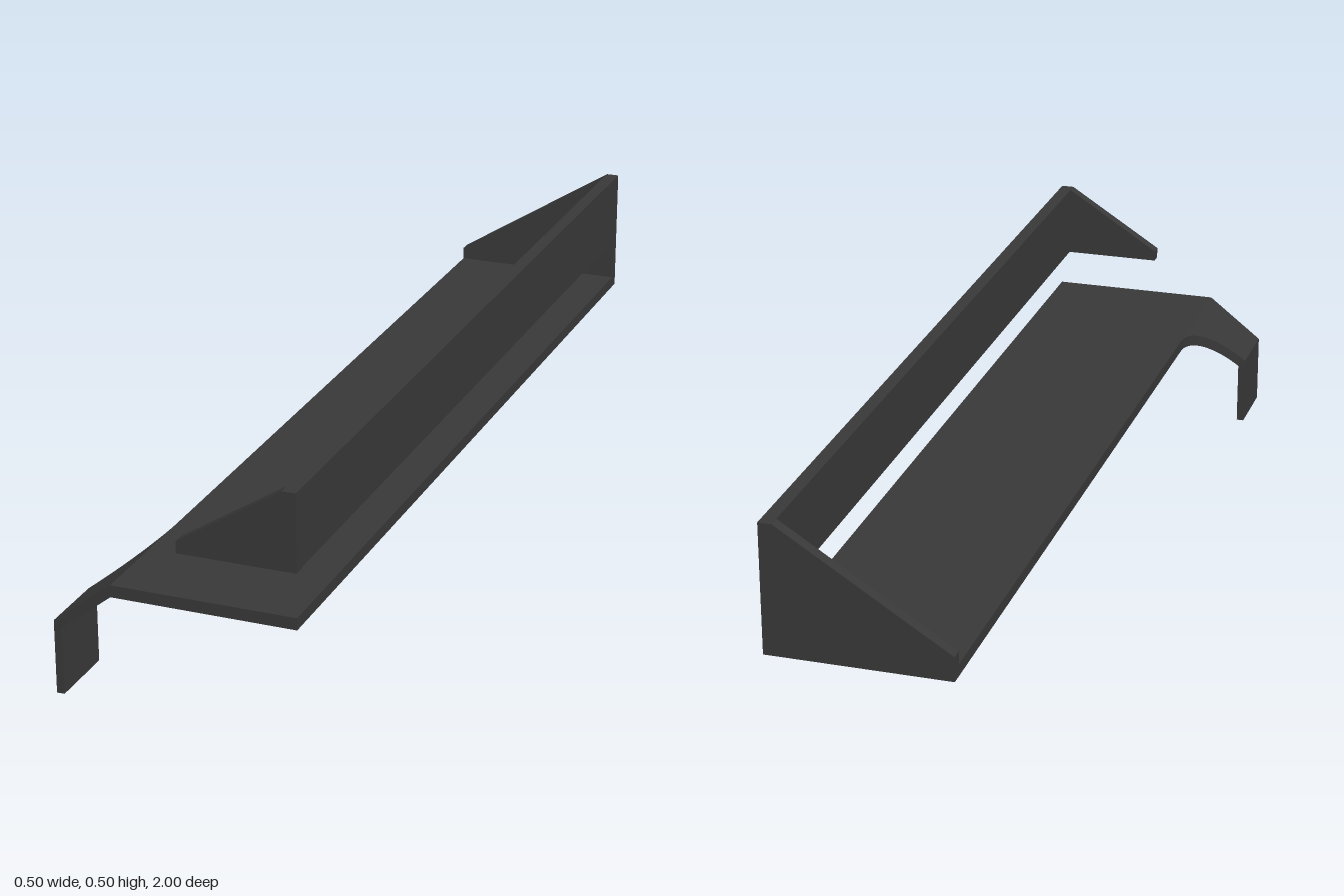
import * as THREE from 'three';

const charcoal = new THREE.MeshStandardMaterial({ color: 0x383838 });
charcoal.name = 'charcoal';

export function createModel() {
  const group = new THREE.Group();
  group.name = 'trayBracket';

  const add = (name, geometry) => {
    const mesh = new THREE.Mesh(geometry, charcoal);
    mesh.name = name;
    group.add(mesh);
  };

  // Box given by its lower and upper limits
  const box = (name, x0, x1, y0, y1, z0, z1) => {
    const g = new THREE.BoxGeometry(x1 - x0, y1 - y0, z1 - z0);
    add(name, g.translate((x0 + x1) / 2, (y0 + y1) / 2, (z0 + z1) / 2));
  };

  // Side profile in x, y extruded from z0 to z1
  const slab = (name, points, z0, z1) => {
    const shape = new THREE.Shape(points.map(([x, y]) => new THREE.Vector2(x, y)));
    const g = new THREE.ExtrudeGeometry(shape, { depth: z1 - z0, bevelEnabled: false });
    add(name, g.translate(0, 0, z0));
  };

  // Long shelf and the raised wall above the open slot
  box('shelf', -0.13, 0.25, 0.225, 0.25, -0.975, 1);
  box('raisedWall', 0.222, 0.25, 0.342, 0.5, -0.975, 0.975);

  // Full end panel at the back, shortened end panel at the front
  slab('backEndPanel',
    [[-0.13, 0.225], [0.25, 0.225], [0.25, 0.5], [0.222, 0.5], [-0.13, 0.277]], -1, -0.975);
  slab('frontEndPanel',
    [[0.008, 0.34], [0.25, 0.34], [0.25, 0.5], [0.222, 0.5], [0.008, 0.364]], 0.975, 1);

  // Sloping arm: plan outline with a curved fillet, sheared down along x
  const xo = -0.252, xi = -0.13;
  const plan = new THREE.Shape();
  plan.moveTo(xo, -1);
  plan.lineTo(xi, -1);
  plan.lineTo(xi, -0.7);
  plan.absellipse(xo, -0.7, xi - xo, 0.15, 0, -Math.PI / 2, true);
  plan.closePath();
  const arm = new THREE.ExtrudeGeometry(plan, { depth: 1, bevelEnabled: false, curveSegments: 20 });
  arm.rotateX(-Math.PI / 2);
  const p = arm.attributes.position;
  for (let i = 0; i < p.count; i++) {
    const d = p.getX(i) - xi;
    p.setY(i, p.getY(i) > 0.5 ? 0.25 + d * 0.779 : 0.225 + d * 0.79);
  }
  arm.computeVertexNormals();
  add('slopingArm', arm);

  // Vertical leg under the end of the arm
  slab('leg', [[xo, 0], [-0.236, 0], [-0.236, 0.141], [xo, 0.1286]], 0.85, 1);

  return group;
}
